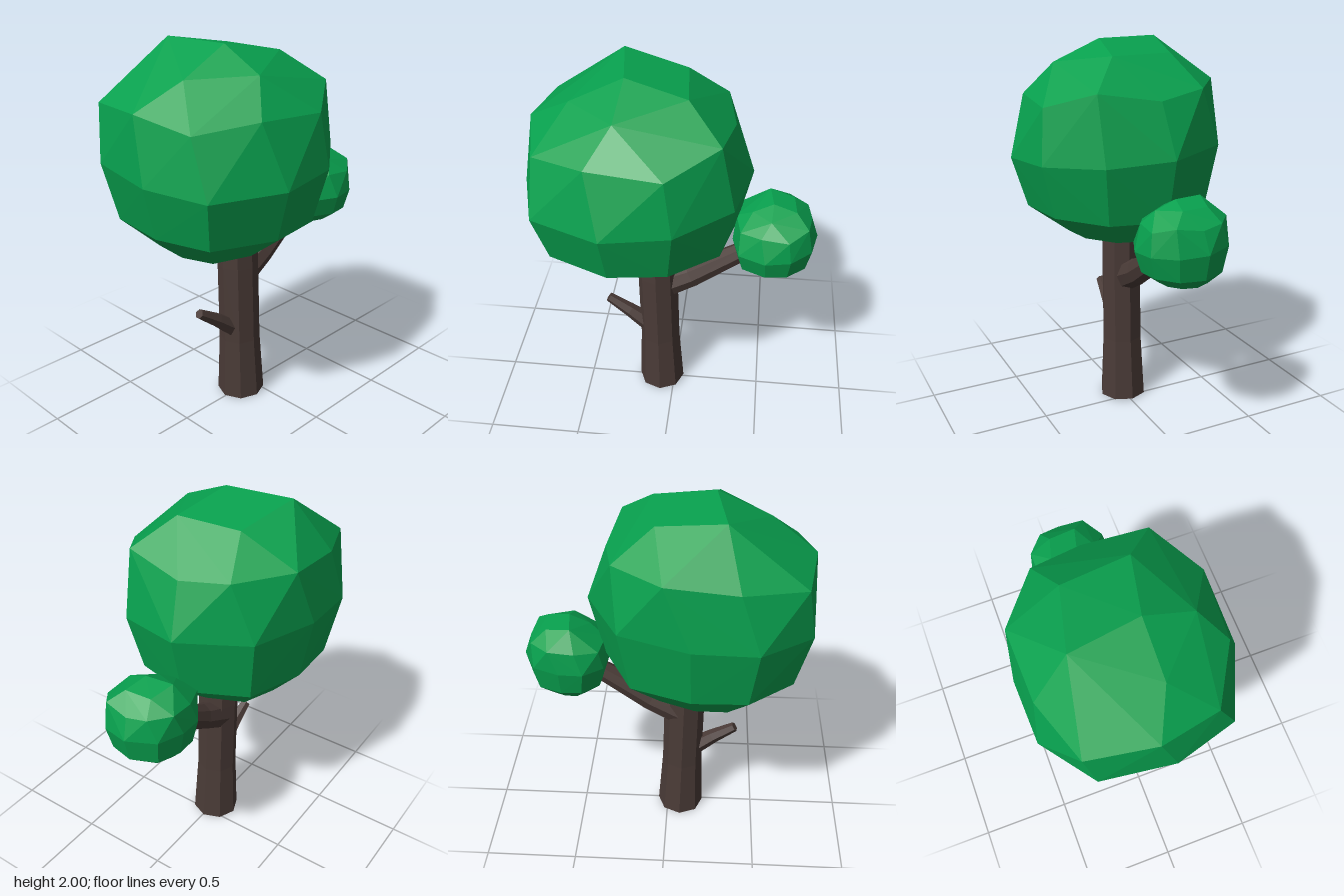
import * as THREE from 'three';
import { ConvexGeometry } from 'three/addons/geometries/ConvexGeometry.js';

const leafMaterial = new THREE.MeshStandardMaterial({ color: 0x08a04e, flatShading: true });
const barkMaterial = new THREE.MeshStandardMaterial({
  color: 0x4a3b37, flatShading: true, side: THREE.DoubleSide,
});

// Skins a stack of equal-sized rings; a ring collapsed to one point closes an end.
function loft(rings) {
  const n = rings[0].length;
  const indices = [];
  for (let i = 0; i < rings.length - 1; i++) {
    for (let j = 0; j < n; j++) {
      const k = (j + 1) % n;
      const a = i * n + j, b = i * n + k;
      indices.push(a, b, a + n);
      if (i < rings.length - 2) indices.push(b, b + n, a + n);
    }
  }
  const geometry = new THREE.BufferGeometry().setFromPoints(rings.flat());
  geometry.setIndex(indices);
  geometry.computeVertexNormals();
  return geometry;
}

// Tapered limb through stations of [x, y, z, radius], open at its foot.
function limb(name, stations, sides) {
  const points = stations.map(([x, y, z]) => new THREE.Vector3(x, y, z));
  const rings = stations.map(([, , , radius], i) => {
    const before = points[Math.max(i - 1, 0)];
    const after = points[Math.min(i + 1, points.length - 1)];
    const tangent = after.clone().sub(before).normalize();
    const v = tangent.clone().cross(new THREE.Vector3(0, 0, 1)).normalize();
    const u = v.clone().cross(tangent);
    return Array.from({ length: sides }, (_, j) => {
      const angle = (j / sides) * Math.PI * 2;
      return points[i].clone()
        .addScaledVector(u, radius * Math.cos(angle))
        .addScaledVector(v, radius * Math.sin(angle));
    });
  });
  rings.push(Array(sides).fill(points[points.length - 1]));
  const mesh = new THREE.Mesh(loft(rings), barkMaterial);
  mesh.name = name;
  return mesh;
}

// Widest outline of the foliage in x and z, about its own centre.
const outline = [
  [-0.575, 0.05], [-0.48, 0.38], [-0.12, 0.535], [0.22, 0.49], [0.5, 0.27],
  [0.58, -0.07], [0.4, -0.42], [0.05, -0.54], [-0.27, -0.53], [-0.53, -0.33],
];

// Uneven ring of corners above the widest outline.
const shoulder = [
  [-0.54, 0.275, -0.04], [-0.47, 0.22, 0.27], [-0.19, 0.26, 0.43], [0.18, 0.24, 0.46],
  [0.43, 0.33, 0.28], [0.48, 0.28, -0.04], [0.43, 0.32, -0.3], [0.18, 0.33, -0.5],
  [-0.17, 0.29, -0.49], [-0.48, 0.26, -0.38],
];

// Corners of the top facets.
const cap = [
  [-0.07, 0.43, 0.3], [0.26, 0.48, 0.12], [0.23, 0.48, -0.22],
  [-0.05, 0.54, 0.05], [-0.1, 0.54, -0.3], [-0.32, 0.41, 0.06],
];

// Faceted ball of leaves
function foliage(name) {
  const layer = (y, scale, dz, tiltX, tiltZ) => outline.map(([x, z]) =>
    [x * scale, y + x * tiltX + z * tiltZ, z * scale + dz]);
  const corners = [
    [0, -0.54, -0.04],
    ...layer(-0.5, 0.52, -0.04, 0.015, 0.015),
    ...layer(-0.33, 0.87, -0.01, 0, 0),
    ...layer(-0.025, 1, 0, 0.04, -0.06),
    ...shoulder,
    ...cap,
  ].map((corner) => new THREE.Vector3(...corner));
  const mesh = new THREE.Mesh(new ConvexGeometry(corners), leafMaterial);
  mesh.name = name;
  return mesh;
}

export function createModel() {
  const tree = new THREE.Group();
  tree.name = 'tree';

  // Trunk and its two limbs
  tree.add(limb('trunk', [
    [-0.075, 0, -0.008, 0.13],
    [-0.083, 0.35, -0.008, 0.112],
    [-0.093, 0.8, -0.008, 0.11],
    [-0.095, 1.02, -0.008, 0.106],
  ], 8));
  tree.add(limb('branch', [
    [-0.06, 0.72, -0.022, 0.085],
    [0.1, 0.8, -0.022, 0.072],
    [0.36, 0.975, -0.022, 0.054],
    [0.5, 1.08, -0.022, 0.045],
  ], 8));
  tree.add(limb('twig', [
    [-0.13, 0.41, 0.0, 0.055],
    [-0.26, 0.51, -0.005, 0.04],
    [-0.378, 0.59, -0.012, 0.027],
  ], 6));

  // Main crown and the small one at the end of the branch
  const crown = foliage('crown');
  crown.position.set(-0.18, 1.46, 0);
  tree.add(crown);

  const smallCrown = foliage('smallCrown');
  smallCrown.scale.set(0.385, 0.4, 0.42);
  smallCrown.position.set(0.532, 1.095, -0.022);
  tree.add(smallCrown);

  return tree;
}
